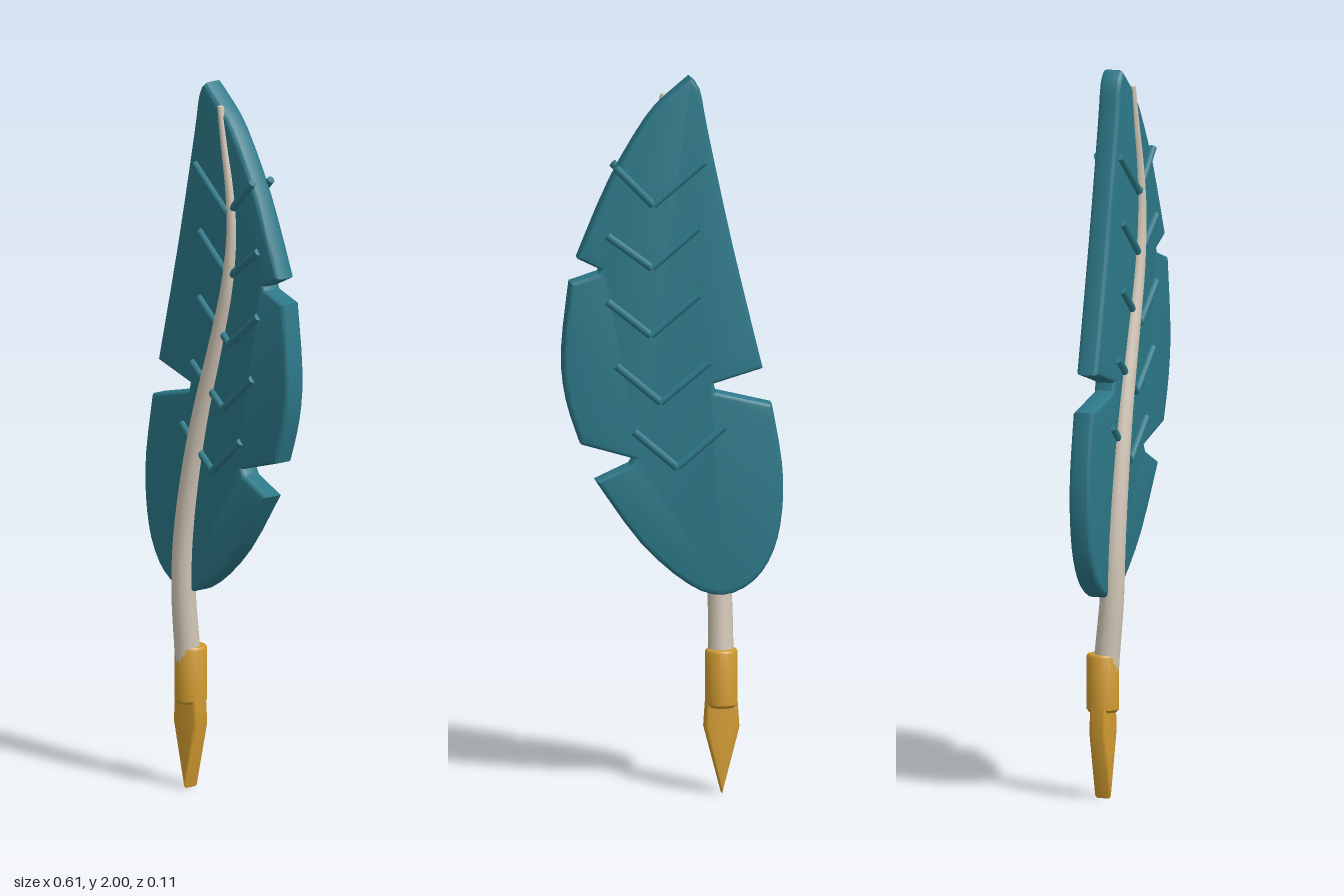
import * as THREE from 'three';
import { toCreasedNormals } from 'three/addons/utils/BufferGeometryUtils.js';

const teal = new THREE.MeshStandardMaterial({ color: 0x2c7888 });
teal.name = 'teal vane';
const ivory = new THREE.MeshStandardMaterial({ color: 0xd3c8b8 });
ivory.name = 'ivory shaft';
const gold = new THREE.MeshStandardMaterial({ color: 0xd09a30 });
gold.name = 'gold';

function addMesh(parent, name, geometry, material) {
  const mesh = new THREE.Mesh(geometry, material);
  mesh.name = name;
  parent.add(mesh);
  return mesh;
}

// Plate between two z values with rounded edges that stay inside the outline
function plate(shape, zBack, zFront, bevel) {
  const geo = new THREE.ExtrudeGeometry(shape, {
    depth: zFront - zBack - 2 * bevel, steps: 1, curveSegments: 8,
    bevelEnabled: true, bevelThickness: bevel, bevelSize: bevel,
    bevelOffset: -bevel, bevelSegments: 3,
  });
  geo.translate(0, 0, zBack + bevel);
  return toCreasedNormals(geo, 0.6);
}

// Vane outline: smooth runs separated by sharp notches
function vaneShape() {
  const runs = [
    [[-0.05, 2], [-0.077, 1.965], [-0.1, 1.845], [-0.167, 1.53], [-0.25, 1.185]],
    [[-0.115, 1.145], [-0.12, 1.123]],
    [[-0.275, 1.085], [-0.303, 0.92], [-0.304, 0.79], [-0.28, 0.675], [-0.225, 0.592],
      [-0.14, 0.555], [-0.045, 0.588], [0.085, 0.705], [0.21, 0.882]],
    [[0.115, 0.925], [0.105, 0.942]],
    [[0.25, 0.985], [0.288, 1.105], [0.301, 1.24], [0.28, 1.437]],
    [[0.202, 1.462], [0.197, 1.472]],
    [[0.26, 1.503], [0.17, 1.715], [0.07, 1.885], [0.01, 1.95]],
  ];
  const points = [];
  for (const run of runs) {
    const v = run.map(([x, y]) => new THREE.Vector2(x, y));
    points.push(...(v.length > 2 ? new THREE.SplineCurve(v).getPoints((v.length - 1) * 3) : v));
  }
  return new THREE.Shape(points);
}

// Tube along a curve whose radius shrinks from root to tip
function taperedTube(curve, radiusAt, segments, sides) {
  const geo = new THREE.TubeGeometry(curve, segments, 1, sides, false);
  const pos = geo.attributes.position;
  const p = new THREE.Vector3();
  for (let i = 0; i <= segments; i++) {
    const t = i / segments;
    const c = curve.getPointAt(t);
    for (let j = 0; j <= sides; j++) {
      const k = i * (sides + 1) + j;
      p.fromBufferAttribute(pos, k).sub(c).multiplyScalar(radiusAt(t)).add(c);
      pos.setXYZ(k, p.x, p.y, p.z);
    }
  }
  return geo;
}

// Round rod joining two points
function addRod(parent, name, a, b, radius, material) {
  const dir = b.clone().sub(a);
  const rod = addMesh(parent, name,
    new THREE.CylinderGeometry(radius, radius, dir.length(), 8), material);
  rod.position.copy(a).add(b).multiplyScalar(0.5);
  rod.quaternion.setFromUnitVectors(new THREE.Vector3(0, 1, 0), dir.normalize());
}

export function createModel() {
  const model = new THREE.Group();
  model.name = 'quillPen';

  addMesh(model, 'vane', plate(vaneShape(), -0.043, 0.019, 0.012), teal);

  // Curved shaft lying on the front of the vane
  const path = new THREE.CatmullRomCurve3([
    [-0.139, 0.3, -0.003], [-0.139, 0.4, 0.005], [-0.138, 0.55, 0.018], [-0.13, 0.7, 0.022],
    [-0.1, 0.89, 0.023], [-0.055, 1.08, 0.022], [0, 1.26, 0.021], [0.052, 1.45, 0.021],
    [0.07, 1.6, 0.02], [0.06, 1.72, 0.019], [0.038, 1.83, 0.018], [0.017, 1.945, 0.017],
  ].map((p) => new THREE.Vector3(...p)));
  addMesh(model, 'shaft', taperedTube(path, (t) => 0.036 - 0.027 * Math.pow(t, 1.25), 64, 14), ivory);
  const tip = addMesh(model, 'shaftTip', new THREE.SphereGeometry(0.009, 10, 6), ivory);
  tip.position.copy(path.getPoint(1));
  tip.scale.y = 0.4;

  // V-shaped barbs on both faces: left end, vertex, right end
  const barbs = [
    [-0.087, 1.767, 0.053, 1.65, 0.157, 1.757],
    [-0.068, 1.582, 0.057, 1.475, 0.18, 1.568],
    [-0.07, 1.395, 0.06, 1.287, 0.18, 1.385],
    [-0.1, 1.208, 0.033, 1.1, 0.155, 1.205],
    [-0.143, 1.027, -0.012, 0.917, 0.106, 1.02],
  ];
  for (const [side, z] of [['front', 0.021], ['back', -0.045]]) {
    const group = new THREE.Group();
    group.name = side + 'Barbs';
    for (const [lx, ly, vx, vy, rx, ry] of barbs) {
      const vertex = new THREE.Vector3(vx, vy, z);
      addRod(group, 'barb', vertex, new THREE.Vector3(lx, ly, z), 0.011, teal);
      addRod(group, 'barb', vertex, new THREE.Vector3(rx, ry, z), 0.011, teal);
    }
    model.add(group);
  }

  // Collar with softened rims
  const profile = [[0, 0.24], [0.038, 0.24], [0.045, 0.248], [0.045, 0.394], [0.041, 0.4], [0, 0.4]]
    .map(([x, y]) => new THREE.Vector2(x, y));
  const collar = addMesh(model, 'collar',
    toCreasedNormals(new THREE.LatheGeometry(profile, 24), 0.6), gold);
  collar.position.set(-0.139, 0, -0.008);

  // Pointed nib
  const nib = new THREE.Shape([
    [-0.139, 0], [-0.091, 0.185], [-0.097, 0.272], [-0.181, 0.272], [-0.187, 0.185],
  ].map(([x, y]) => new THREE.Vector2(x, y)));
  addMesh(model, 'nib', plate(nib, -0.031, 0.016, 0.008), gold);

  return model;
}
